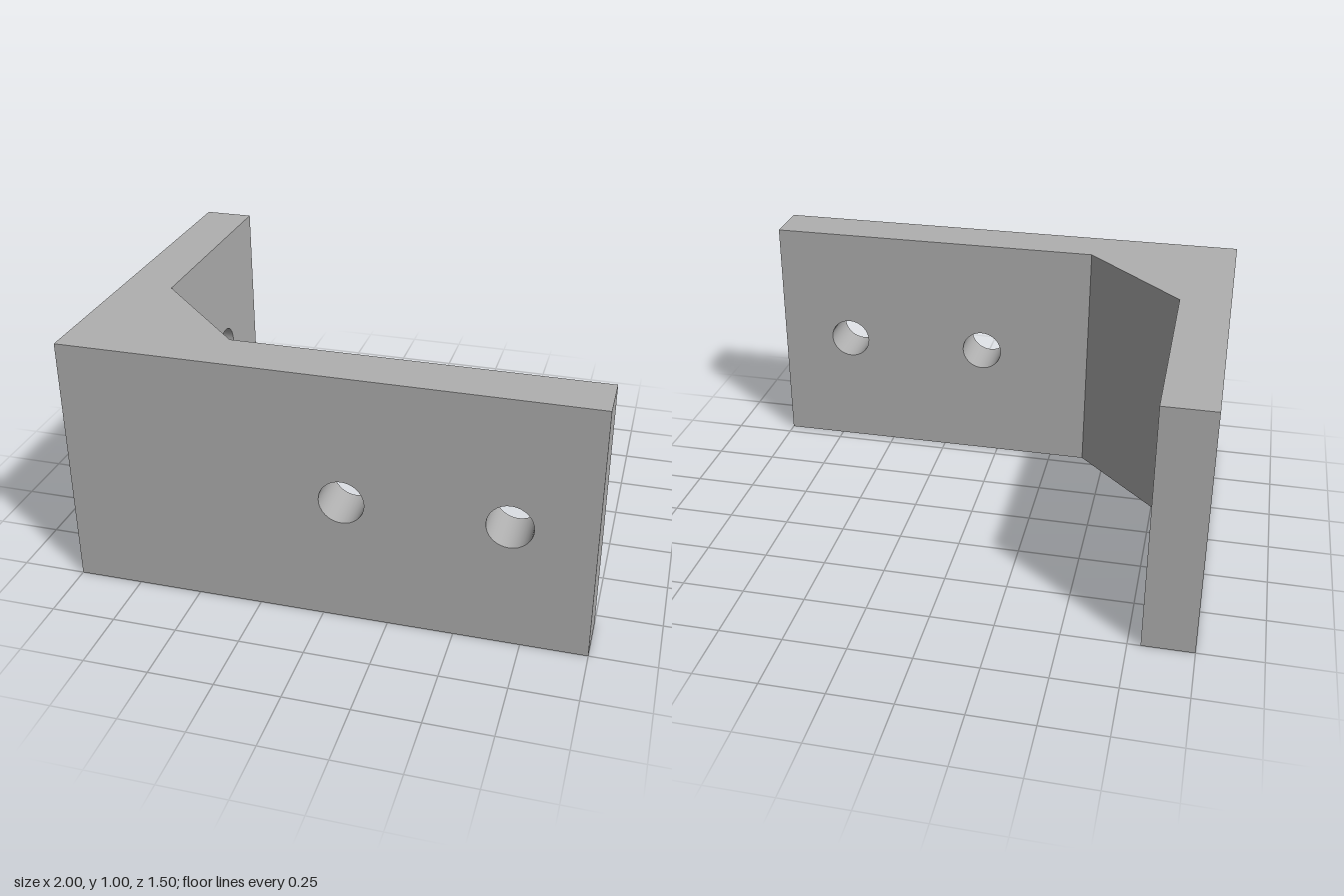
import * as THREE from 'three';
import { mergeGeometries } from 'three/addons/utils/BufferGeometryUtils.js';

const HEIGHT = 1, HOLE_Y = 0.5, HOLE_R = 0.086;

// Plan outline as [x, z], walked so that every wall faces outwards
const outline = [
  [-1, 0.75], [1, 0.75], [1, 0.55], [-0.4, 0.55],
  [-0.8, 0.15], [-0.8, -0.75], [-1, -0.75],
];

// Bolt holes: centre in plan, and the two walls each one pierces
const holes = [
  { x: 0.075, z: 0.65, walls: [0, 2] },
  { x: 0.69, z: 0.65, walls: [0, 2] },
  { x: -0.9, z: -0.383, walls: [4, 6] },
];

// Upright wall over one outline edge, cut by its holes
function wall(i) {
  const [ax, az] = outline[i], [bx, bz] = outline[(i + 1) % outline.length];
  const along = new THREE.Vector3(bx - ax, 0, bz - az);
  const length = along.length();
  along.normalize();
  const up = new THREE.Vector3(0, 1, 0);
  const shape = new THREE.Shape([[0, 0], [length, 0], [length, HEIGHT], [0, HEIGHT]]
    .map(p => new THREE.Vector2(...p)));
  for (const h of holes.filter(h => h.walls.includes(i))) {
    const u = (h.x - ax) * along.x + (h.z - az) * along.z;
    shape.holes.push(new THREE.Path().absarc(u, HOLE_Y, HOLE_R, 0, Math.PI * 2, true));
  }
  const normal = along.clone().cross(up);
  const place = new THREE.Matrix4().makeBasis(along, up, normal).setPosition(ax, 0, az);
  return new THREE.ShapeGeometry(shape, 16).applyMatrix4(place);
}

// Flat top (side = 1) or bottom (side = -1)
function cap(side) {
  const shape = new THREE.Shape(outline.map(([x, z]) => new THREE.Vector2(x, -side * z)));
  return new THREE.ShapeGeometry(shape)
    .rotateX(-side * Math.PI / 2)
    .translate(0, side > 0 ? HEIGHT : 0, 0);
}

export function createModel() {
  const group = new THREE.Group();
  group.name = 'cornerBracket';
  const metal = new THREE.MeshStandardMaterial({ color: 0xb0b0b0, side: THREE.DoubleSide });
  metal.name = 'greyMetal';

  // L-shaped body with a chamfered inner corner
  const body = new THREE.Mesh(
    mergeGeometries([...outline.map((_, i) => wall(i)), cap(1), cap(-1)]), metal);
  body.name = 'bracketBody';
  group.add(body);

  // Smooth bores lining the bolt holes
  for (const h of holes) {
    const bore = new THREE.Mesh(
      new THREE.CylinderGeometry(HOLE_R, HOLE_R, 0.2, 32, 1, true), metal);
    if (h.walls[0] === 0) bore.rotation.x = Math.PI / 2;
    else bore.rotation.z = Math.PI / 2;
    bore.position.set(h.x, HOLE_Y, h.z);
    bore.name = 'boltHole';
    group.add(bore);
  }
  return group;
}
